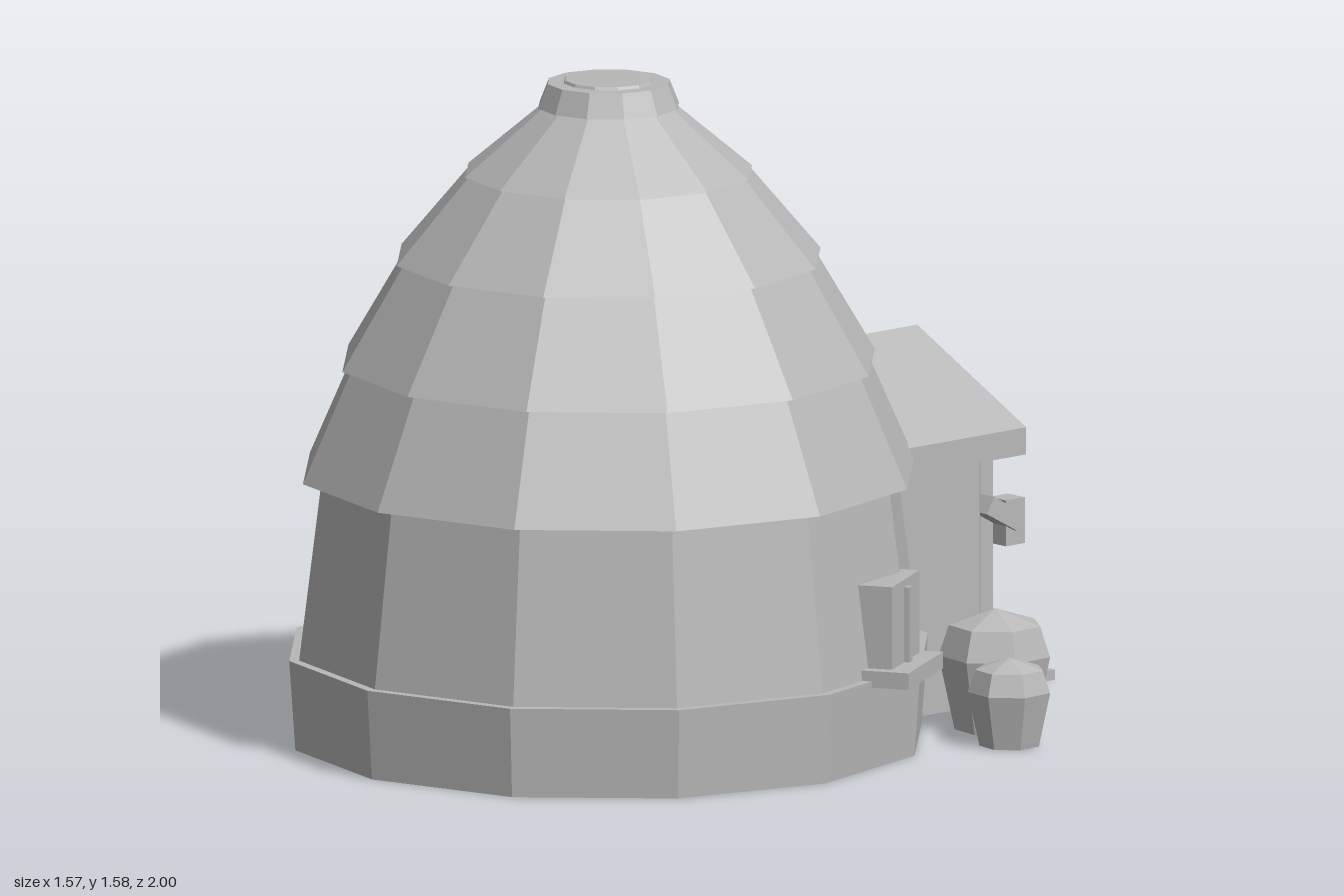
import * as THREE from 'three';

export function createModel() {
  const model = new THREE.Group();
  const clay = new THREE.MeshStandardMaterial({
    color: 0xb8b8b8, flatShading: true, side: THREE.DoubleSide });
  clay.name = 'plain grey';

  const add = (name, geometry, x, y, z, parent = model) => {
    const mesh = new THREE.Mesh(geometry, clay);
    mesh.name = name;
    mesh.position.set(x, y, z);
    parent.add(mesh);
    return mesh;
  };
  // Box given by its limits
  const box = (name, x0, x1, y0, y1, z0, z1, parent) =>
    add(name, new THREE.BoxGeometry(x1 - x0, y1 - y0, z1 - z0),
      (x0 + x1) / 2, (y0 + y1) / 2, (z0 + z1) / 2, parent);
  // Outline in x and y, pushed along z
  const prism = (points, depth) => new THREE.ExtrudeGeometry(
    new THREE.Shape(points.map(([x, y]) => new THREE.Vector2(x, y))),
    { depth, bevelEnabled: false });
  // Open shell made of four-cornered faces
  const shell = (quads) => {
    const corners = quads.flatMap(([a, b, c, d]) => [a, b, c, a, c, d]).flat();
    const geometry = new THREE.BufferGeometry();
    geometry.setAttribute('position', new THREE.Float32BufferAttribute(corners, 3));
    geometry.computeVertexNormals();
    return geometry;
  };

  // Round house: open plinth, wall, overlapping roof tiers and cap, all twelve-sided
  const CX = -0.02, CZ = 0.23;
  const rings = [
    ['plinth', 0, 0.215, 0.755, 0.77, true],
    ['wall', 0.215, 0.66, 0.746, 0.69, true],
    ['roofTier1', 0.638, 0.92, 0.737, 0.613],
    ['roofTier2', 0.903, 1.165, 0.642, 0.487],
    ['roofTier3', 1.152, 1.37, 0.511, 0.327],
    ['roofTier4', 1.357, 1.525, 0.346, 0.147],
    ['roofCap', 1.515, 1.573, 0.17, 0.147],
    ['capDisc', 1.57, 1.58, 0.11, 0.105],
  ];
  for (const [name, y0, y1, r0, r1, open = false] of rings) {
    add(name, new THREE.CylinderGeometry(r1, r0, y1 - y0, 12, 1, open), CX, (y0 + y1) / 2, CZ);
  }
  add('floor', new THREE.CircleGeometry(0.77, 12), CX, 0.215, CZ).rotation.x = -Math.PI / 2;

  // Porch at the back
  const porch = new THREE.Group();
  porch.name = 'porch';
  porch.position.x = CX;
  model.add(porch);

  // Porch walls with cut corners and a door recess, open below
  const plan = [[-0.32, -0.39], [-0.32, -0.66], [-0.28, -0.7], [-0.2, -0.7], [-0.2, -0.66],
    [0.2, -0.66], [0.2, -0.7], [0.28, -0.7], [0.32, -0.66], [0.32, -0.39]];
  add('porchWalls', shell(plan.slice(1).map(([x1, z1], i) => {
    const [x0, z0] = plan[i];
    return [[x0, 0, z0], [x0, 0.61, z0], [x1, 0.61, z1], [x1, 0, z1]];
  })), 0, 0, 0, porch);

  // Gable roof
  const gable = [[-0.38, 0.6], [0.38, 0.6], [0.38, 0.665], [0, 0.855], [-0.38, 0.665]];
  add('porchRoof', prism(gable, 0.44), 0, 0, -0.755, porch);

  // Door, its surround and the plate above
  box('door', -0.17, 0.17, 0.12, 0.57, -0.672, -0.655, porch);
  box('doorHandle', -0.12, -0.07, 0.35, 0.4, -0.72, -0.67, porch);
  for (const s of [-1, 1]) {
    box('doorPost', s * 0.24 - 0.035, s * 0.24 + 0.035, 0.12, 0.605, -0.745, -0.69, porch);
  }
  box('lintel', -0.27, 0.27, 0.6, 0.635, -0.805, -0.69, porch);
  box('lintelPlate', -0.13, 0.13, 0.605, 0.645, -0.815, -0.74, porch);

  // Steps as a hollow stair: tread, riser and two cheeks each, widening downwards
  const steps = [[0.13, -0.79, 0.185], [0.1, -0.845, 0.19], [0.075, -0.89, 0.198],
    [0.05, -0.945, 0.205], [0.025, -1, 0.212]];
  steps.forEach(([h, z, w], i) => {
    const back = i ? steps[i - 1][1] : -0.67;
    const low = i < steps.length - 1 ? steps[i + 1][0] : 0;
    const cheek = (x) => [[x, 0, back], [x, h, back], [x, h, z], [x, 0, z]];
    add('step' + (i + 1), shell([
      [[-w, h, back], [w, h, back], [w, h, z], [-w, h, z]],
      [[-w, h, z], [w, h, z], [w, low, z], [-w, low, z]],
      cheek(-w), cheek(w),
    ]), 0, 0, 0, porch);
  });

  // Tilted lantern beside the door
  const hood = box('lanternHood', 0.24, 0.33, 0.43, 0.475, -0.79, -0.68, porch);
  hood.rotation.x = -0.5;
  box('lanternBody', 0.255, 0.315, 0.37, 0.48, -0.81, -0.75, porch);

  // Window on the left wall; local +z points outward from the house centre
  const win = new THREE.Group();
  win.name = 'window';
  win.position.set(CX, 0, CZ);
  win.rotation.y = Math.PI / 2 + Math.PI / 6;
  model.add(win);
  box('windowSill', -0.205, 0.065, 0.2, 0.24, 0.66, 0.805, win);
  box('windowPanes', -0.175, 0.04, 0.24, 0.438, 0.66, 0.755, win);
  box('windowBar', -0.08, -0.055, 0.24, 0.42, 0.74, 0.768, win);

  // Two storage jars beside the porch, open below
  const jar = (name, x, z, r, h) => {
    const profile = [[0.72, 0], [1, 0.62], [0.82, 0.87], [0, 1]]
      .map(([a, b]) => new THREE.Vector2(a * r, b * h));
    add(name, new THREE.LatheGeometry(profile, 7), x, 0, z).rotation.y = 0.3;
  };
  jar('largeJar', 0.52, -0.51, 0.135, 0.288);
  jar('smallJar', 0.69, -0.4, 0.1, 0.21);

  return model;
}
